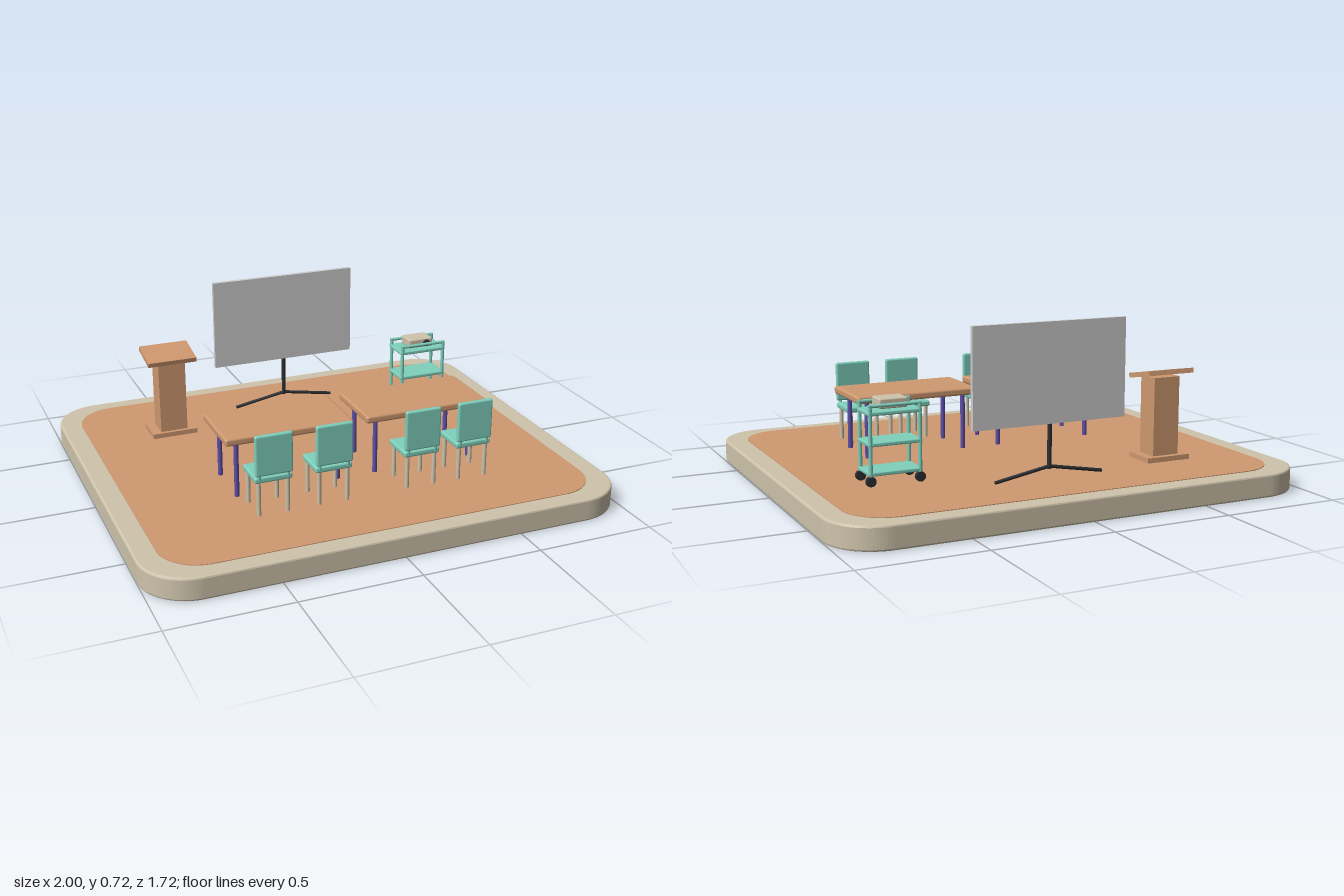
import * as THREE from 'three';
import { RoundedBoxGeometry } from 'three/addons/geometries/RoundedBoxGeometry.js';

const paint = (name, color) => {
  const m = new THREE.MeshStandardMaterial({ color });
  m.name = name;
  return m;
};
const stone = paint('beige', 0xcfc4ac);
const wood = paint('wood', 0xcf9970);
const teal = paint('teal', 0x80d0bd);
const purple = paint('purple', 0x5f4fa8);
const grey = paint('screen grey', 0xcdcdcd);
const black = paint('black', 0x2b2e32);

const FLOOR = 0.097;

function add(parent, name, geometry, material, x, y, z) {
  const mesh = new THREE.Mesh(geometry, material);
  mesh.name = name;
  mesh.position.set(x, y, z);
  parent.add(mesh);
  return mesh;
}

const box = (w, h, d) => new THREE.BoxGeometry(w, h, d);
const soft = (w, h, d, r = 0.008) => new RoundedBoxGeometry(w, h, d, 2, r);

// Cylinder between two points
function rod(parent, name, material, a, b, radius, sides = 14) {
  const from = new THREE.Vector3(...a), to = new THREE.Vector3(...b);
  const dir = to.clone().sub(from);
  const mid = from.clone().add(to).multiplyScalar(0.5);
  const mesh = add(parent, name, new THREE.CylinderGeometry(radius, radius, dir.length(), sides), material, mid.x, mid.y, mid.z);
  mesh.quaternion.setFromUnitVectors(new THREE.Vector3(0, 1, 0), dir.normalize());
  return mesh;
}

function group(parent, name, x = 0, z = 0) {
  const g = new THREE.Group();
  g.name = name;
  g.position.set(x, 0, z);
  parent.add(g);
  return g;
}

// Rounded rectangle slab lying flat, rising from its origin
function slab(hw, hd, r, height, bevel) {
  const w = hw - bevel, d = hd - bevel, c = r - bevel, s = new THREE.Shape();
  s.absarc(w - c, d - c, c, 0, Math.PI / 2);
  s.absarc(-w + c, d - c, c, Math.PI / 2, Math.PI);
  s.absarc(-w + c, -d + c, c, Math.PI, Math.PI * 1.5);
  s.absarc(w - c, -d + c, c, Math.PI * 1.5, Math.PI * 2);
  s.closePath();
  const g = new THREE.ExtrudeGeometry(s, {
    depth: height - 2 * bevel, bevelEnabled: bevel > 0, bevelSize: bevel,
    bevelThickness: bevel, bevelSegments: 2, curveSegments: 12,
  });
  return g.rotateX(-Math.PI / 2).translate(0, bevel, 0);
}

function addTable(parent, x) {
  const g = group(parent, 'table', x, 0.197);
  add(g, 'tableTop', soft(0.546, 0.032, 0.295, 0.01), wood, 0, 0.351, 0);
  for (const sx of [-1, 1]) for (const sz of [-1, 1]) {
    rod(g, 'tableLeg', purple, [sx * 0.218, FLOOR, sz * 0.107], [sx * 0.218, 0.338, sz * 0.107], 0.01);
  }
}

function addChair(parent, x) {
  const g = group(parent, 'chair', x, 0.433);
  add(g, 'seat', soft(0.155, 0.025, 0.15), teal, 0, 0.25, 0);
  add(g, 'backrest', soft(0.155, 0.17, 0.02), teal, 0, 0.354, 0.073);
  for (const sx of [-1, 1]) for (const sz of [-1, 1]) {
    rod(g, 'chairLeg', stone, [sx * 0.06, FLOOR, sz * 0.062], [sx * 0.06, 0.242, sz * 0.062], 0.009);
  }
  // Short hidden posts joining the back to the seat
  for (const sx of [-1, 1]) {
    rod(g, 'backPost', teal, [sx * 0.06, 0.25, 0.07], [sx * 0.06, 0.29, 0.073], 0.007);
  }
}

function addLectern(parent) {
  const g = group(parent, 'lectern', -0.551, -0.434);
  add(g, 'lecternFoot', box(0.2, 0.022, 0.145), wood, 0, FLOOR + 0.011, 0);
  add(g, 'lecternColumn', box(0.12, 0.328, 0.103), wood, 0, 0.283, 0.004);
  const desk = add(g, 'lecternDesk', box(0.215, 0.02, 0.155), wood, 0, 0.459, -0.002);
  desk.rotation.x = 0.19;
}

function addScreen(parent) {
  const g = group(parent, 'presentationScreen', 0.032, -0.55);
  add(g, 'screenPanel', box(0.665, 0.4, 0.018), grey, 0, 0.52, 0);
  rod(g, 'screenPole', black, [0, 0.14, 0], [0, 0.325, 0], 0.009);
  for (const s of [-1, 1]) {
    rod(g, 'screenLeg', black, [0, 0.15, 0], [s * 0.235, 0.108, 0], 0.007);
  }
}

function addCart(parent) {
  const g = group(parent, 'cart', 0.6, -0.302);
  for (const y of [0.145, 0.26, 0.38]) {
    add(g, 'shelf', soft(0.222, 0.016, 0.13, 0.005), teal, 0, y, 0);
  }
  for (const sz of [-1, 1]) {
    rod(g, 'rail', teal, [-0.108, 0.41, sz * 0.058], [0.108, 0.41, sz * 0.058], 0.007);
    for (const sx of [-1, 1]) {
      const x = sx * 0.102, z = sz * 0.058;
      rod(g, 'post', teal, [x, 0.13, z], [x, 0.414, z], 0.008);
      rod(g, 'wheel', black, [x, 0.117, z - 0.009], [x, 0.117, z + 0.009], 0.02, 20);
    }
  }
  // Projector on the top shelf
  const p = group(g, 'projector');
  add(p, 'projectorBody', soft(0.116, 0.04, 0.085, 0.006), stone, -0.002, 0.412, 0);
  rod(p, 'lensRing', black, [0.024, 0.412, 0.035], [0.024, 0.412, 0.053], 0.015, 20);
  rod(p, 'lensGlass', grey, [0.024, 0.412, 0.05], [0.024, 0.412, 0.055], 0.006, 16);
}

export function createModel() {
  const model = new THREE.Group();
  model.name = 'classroom';
  add(model, 'platform', slab(1, 0.862, 0.2, 0.095, 0.008), stone, 0, 0, 0);
  add(model, 'floor', slab(0.912, 0.786, 0.17, 0.005, 0), wood, 0, 0.093, 0);
  for (const x of [-0.272, 0.332]) addTable(model, x);
  for (const x of [-0.405, -0.153, 0.23, 0.463]) addChair(model, x);
  addLectern(model);
  addScreen(model);
  addCart(model);
  return model;
}
